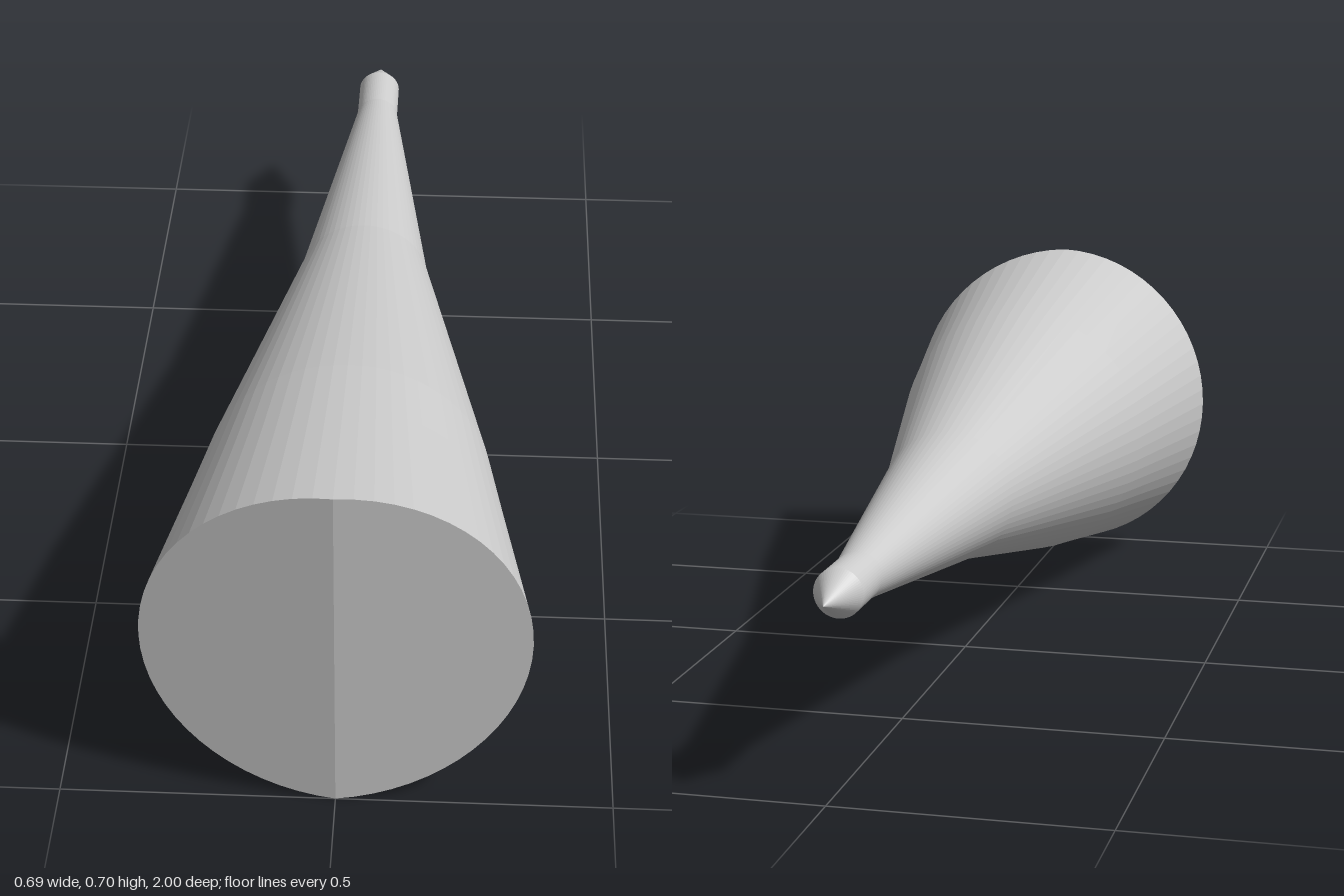
import * as THREE from 'three';

const SIDES = 64;
const AXIS_Y = 0.351;
const FOLD = 0.04; // how far the sides of the base sit behind its middle ridge

// Turned part along the z axis from [radius, z] pairs
function turned(name, profile, bend) {
  const points = profile.map(([r, z]) => new THREE.Vector2(r, z));
  const geometry = new THREE.LatheGeometry(points, SIDES);
  geometry.rotateX(Math.PI / 2);
  if (bend) bend(geometry.attributes.position);
  geometry.computeVertexNormals();
  const material = new THREE.MeshStandardMaterial({ color: 0xcccccc, flatShading: true });
  const mesh = new THREE.Mesh(geometry, material);
  mesh.name = name;
  return mesh;
}

// Pull the sides of the base back along the flare, leaving a vertical ridge
function foldBase(position) {
  for (let i = 0; i < position.count; i++) {
    if (position.getZ(i) < 0.999) continue;
    const x = position.getX(i), y = position.getY(i);
    const back = FOLD * Math.abs(x) / 0.35;
    const shrink = 1 - back * 0.17 / 0.35;
    position.setXYZ(i, x * shrink, y * shrink, 1 - back);
  }
}

export function createModel() {
  const model = new THREE.Group();

  // Long tapering body with a slightly flared wide end
  const body = turned('body', [
    [0.045, -0.79], [0.132, -0.14], [0.268, 0.52], [0.295, 0.68], [0.351, 1],
  ], foldBase);

  // Straight neck and pointed tip
  const neck = turned('neck', [[0.045, -0.91], [0.045, -0.79]]);
  const tip = turned('tip', [[0, -1], [0.045, -0.91]]);

  // Shallow folded face closing the wide end
  const base = turned('base', [[0.351, 1], [0, 1]], foldBase);

  model.add(body, neck, tip, base);
  model.position.y = AXIS_Y;
  const root = new THREE.Group();
  root.name = 'taperedSpike';
  root.add(model);
  return root;
}
